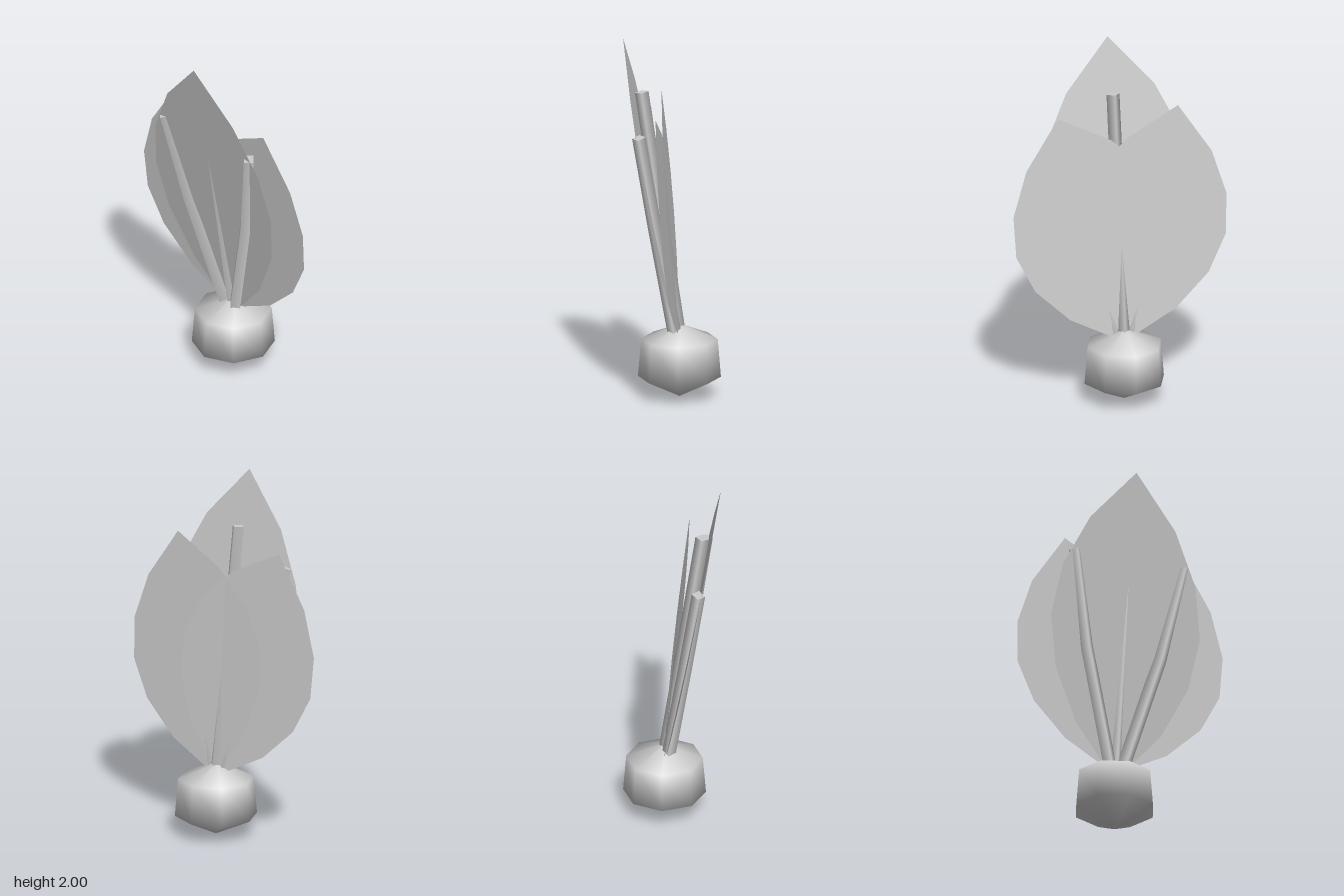
import * as THREE from 'three';

const clay = new THREE.MeshStandardMaterial({ color: 0xcccccc });
clay.name = 'pale grey';
const leaf = clay.clone();
leaf.name = 'pale grey thin';
leaf.side = THREE.DoubleSide;

// Flat pointed petal: base at y0, length and sideways lean, set on a tilted plane.
function petal(name, y0, length, lean, slopeY, slopeX) {
  const half = [0, 0.25, 0.39, 0.438, 0.39, 0.25, 0];
  const outline = half.map((w, i) => new THREE.Vector2(w, (i / 6) * length));
  for (let i = 5; i > 0; i--) outline.push(new THREE.Vector2(-half[i], (i / 6) * length));
  const geo = new THREE.ShapeGeometry(new THREE.Shape(outline));
  geo.rotateZ(-lean);
  const p = geo.attributes.position;
  for (let i = 0; i < p.count; i++) {
    const x = p.getX(i), y = p.getY(i);
    p.setXYZ(i, x, y0 + y, -0.04 + slopeY * y + slopeX * x);
  }
  geo.computeVertexNormals();
  const mesh = new THREE.Mesh(geo, leaf);
  mesh.name = name;
  return mesh;
}

// Four-sided stalk bent through three points (bottom, middle, top).
function stalk(name, points) {
  const r = 0.037;
  const geo = new THREE.CylinderGeometry(r, r, 1, 4, 2);
  const p = geo.attributes.position;
  for (let i = 0; i < p.count; i++) {
    const dx = p.getX(i), dz = p.getZ(i);
    const k = Math.round((p.getY(i) + 0.5) * 2);
    const a = points[Math.max(k - 1, 0)], b = points[Math.min(k + 1, 2)], c = points[k];
    const rise = b[1] - a[1];
    // keep each ring square to the path
    const dy = -(dx * (b[0] - a[0]) + dz * (b[2] - a[2])) / rise;
    p.setXYZ(i, c[0] + dx, c[1] + dy, c[2] + dz);
  }
  const mesh = new THREE.Mesh(geo, clay);
  mesh.name = name;
  return mesh;
}

export function createModel() {
  const model = new THREE.Group();
  model.name = 'flower';

  // Rounded eight-sided bulb
  const profile = [[0, 0], [0.225, 0.11], [0.208, 0.32], [0, 0.405]];
  const bulb = new THREE.Mesh(
    new THREE.LatheGeometry(profile.map(([x, y]) => new THREE.Vector2(x, y)), 8), clay);
  bulb.name = 'bulb';
  bulb.position.z = -0.04;
  model.add(bulb);

  // Petals
  model.add(petal('frontPetal', 0.29, 1.71, 0, 0.179, 0));
  for (const [side, s] of [['left', 1], ['right', -1]]) {
    model.add(petal(side + 'BackPetal', 0.33, 1.344, s * 0.256, 0.082, s * 0.022));
  }

  // Stalks
  model.add(stalk('centreStalk', [[0, 0.36, -0.036], [0, 1.03, 0.065], [0, 1.7, 0.165]]));
  for (const [side, s] of [['left', 1], ['right', -1]]) {
    model.add(stalk(side + 'Stalk',
      [[s * 0.037, 0.36, -0.015], [s * 0.215, 1.0, 0.085], [s * 0.318, 1.525, 0.165]]));
  }
  return model;
}
